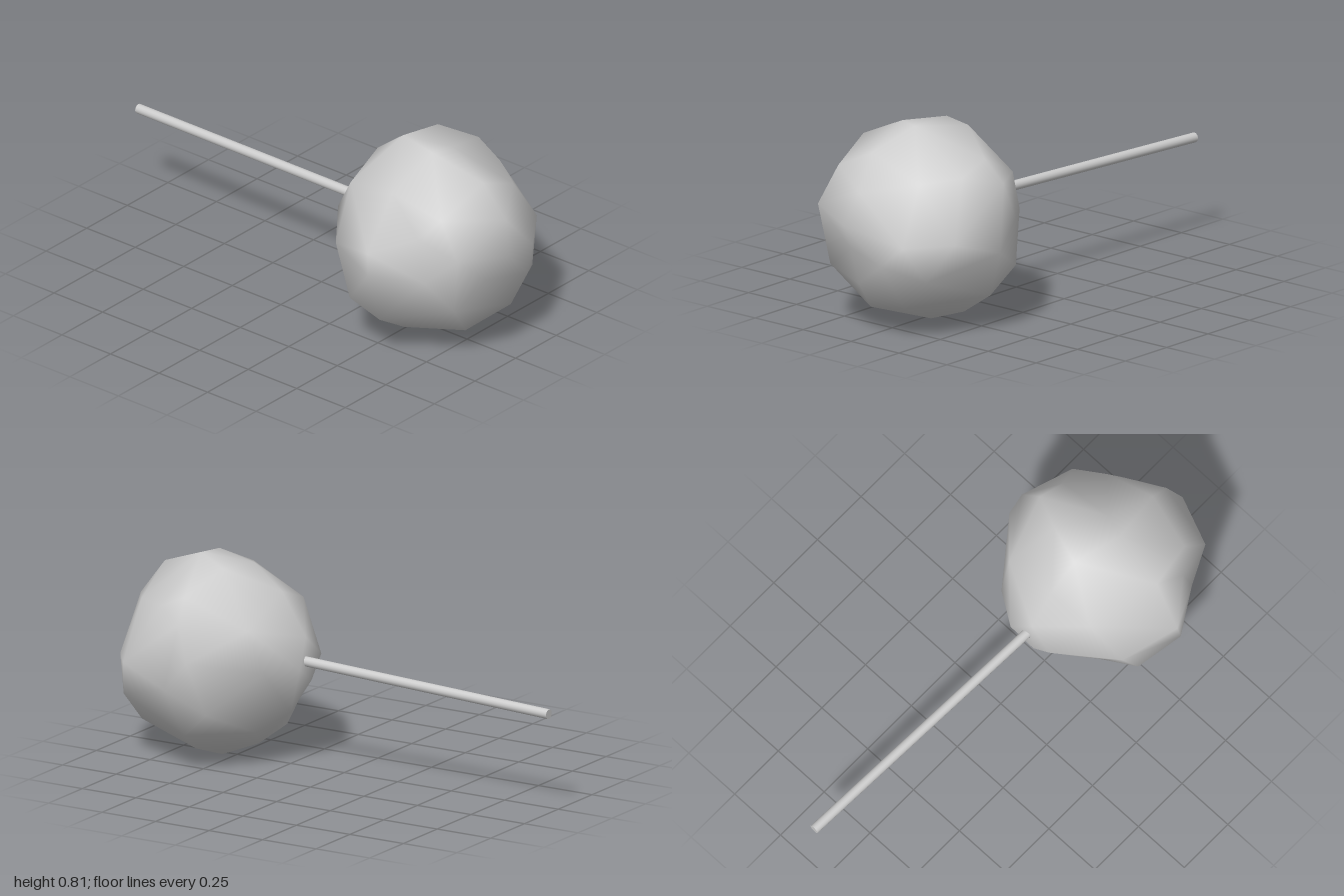
import * as THREE from 'three';
import { mergeVertices } from 'three/addons/utils/BufferGeometryUtils.js';
import { ConvexGeometry } from 'three/addons/geometries/ConvexGeometry.js';

const CENTER = new THREE.Vector3(0, 0.41, 0.58);

// Peaks and hollows of the crumpled ball
const LUMPS = [
  // ring around the sides, top and bottom
  [-0.42, 0.4, 0.59], [-0.41, 0.49, 0.58], [-0.28, 0.715, 0.6], [-0.06, 0.815, 0.62], [0.03, 0.815, 0.65],
  [0.155, 0.803, 0.47], [0.31, 0.71, 0.55], [0.39, 0.62, 0.53], [0.41, 0.47, 0.48], [0.417, 0.35, 0.58],
  [0.33, 0.15, 0.54], [0.21, 0.065, 0.56], [0.03, 0, 0.55], [-0.16, 0.055, 0.56], [-0.335, 0.165, 0.58],
  // ring down the middle, front to back
  [-0.04, 0.47, 1], [0, 0.6, 0.95], [-0.02, 0.74, 0.85], [0, 0.8, 0.42], [0, 0.7, 0.29], [0, 0.53, 0.18],
  [-0.02, 0.35, 0.165], [0, 0.21, 0.25], [0, 0.06, 0.4], [-0.02, 0.22, 0.93],
  // back
  [0.09, 0.42, 0.15], [-0.1, 0.44, 0.17], [-0.33, 0.43, 0.35], [0.22, 0.42, 0.235], [0.24, 0.59, 0.3],
  [0.36, 0.255, 0.42], [0.13, 0.145, 0.33], [-0.18, 0.1, 0.38], [-0.34, 0.215, 0.43], [-0.19, 0.63, 0.31],
  // front
  [0.2, 0.4, 0.92], [0.37, 0.42, 0.8], [0.295, 0.655, 0.67], [0.2, 0.64, 0.82], [0.27, 0.26, 0.86],
  [0.15, 0.13, 0.85], [-0.07, 0.085, 0.8], [-0.22, 0.25, 0.87], [-0.08, 0.35, 0.91], [0.12, 0.32, 0.96],
  // sharp fold and the hollow behind it
  [-0.25, 0.5, 0.91], [-0.23, 0.64, 0.81], [-0.29, 0.56, 0.74], [-0.3, 0.38, 0.78],
].map(([x, y, z]) => {
  const offset = new THREE.Vector3(x, y, z).sub(CENTER);
  return { offset, dir: offset.clone().normalize() };
});

// Join the lumps as a hull on a unit sphere, then move each one to its own depth
function makeBall(material) {
  let geo = new ConvexGeometry(LUMPS.map((lump) => lump.dir));
  geo.deleteAttribute('normal');
  geo = mergeVertices(geo);
  const pos = geo.attributes.position;
  const v = new THREE.Vector3();
  for (let i = 0; i < pos.count; i++) {
    v.fromBufferAttribute(pos, i);
    const lump = LUMPS.reduce((a, b) => (b.dir.dot(v) > a.dir.dot(v) ? b : a));
    v.addVectors(CENTER, lump.offset);
    pos.setXYZ(i, v.x, v.y, v.z);
  }
  geo.computeVertexNormals();
  const ball = new THREE.Mesh(geo, material);
  ball.name = 'crumpledBall';
  return ball;
}

// Thin rod running from inside the ball out to the back
function makeStick(material) {
  const inner = new THREE.Vector3(0.015, 0.44, 0.3);
  const outer = new THREE.Vector3(0.068, 0.406, -0.999);
  const axis = outer.clone().sub(inner);
  const stick = new THREE.Mesh(new THREE.CylinderGeometry(0.02, 0.02, axis.length(), 16), material);
  stick.position.copy(inner).add(outer).multiplyScalar(0.5);
  stick.quaternion.setFromUnitVectors(new THREE.Vector3(0, 1, 0), axis.normalize());
  stick.name = 'stick';
  return stick;
}

export function createModel() {
  const material = new THREE.MeshStandardMaterial({ color: 0xcccccc });
  const group = new THREE.Group();
  group.name = 'ballOnStick';
  group.add(makeBall(material), makeStick(material));
  return group;
}
